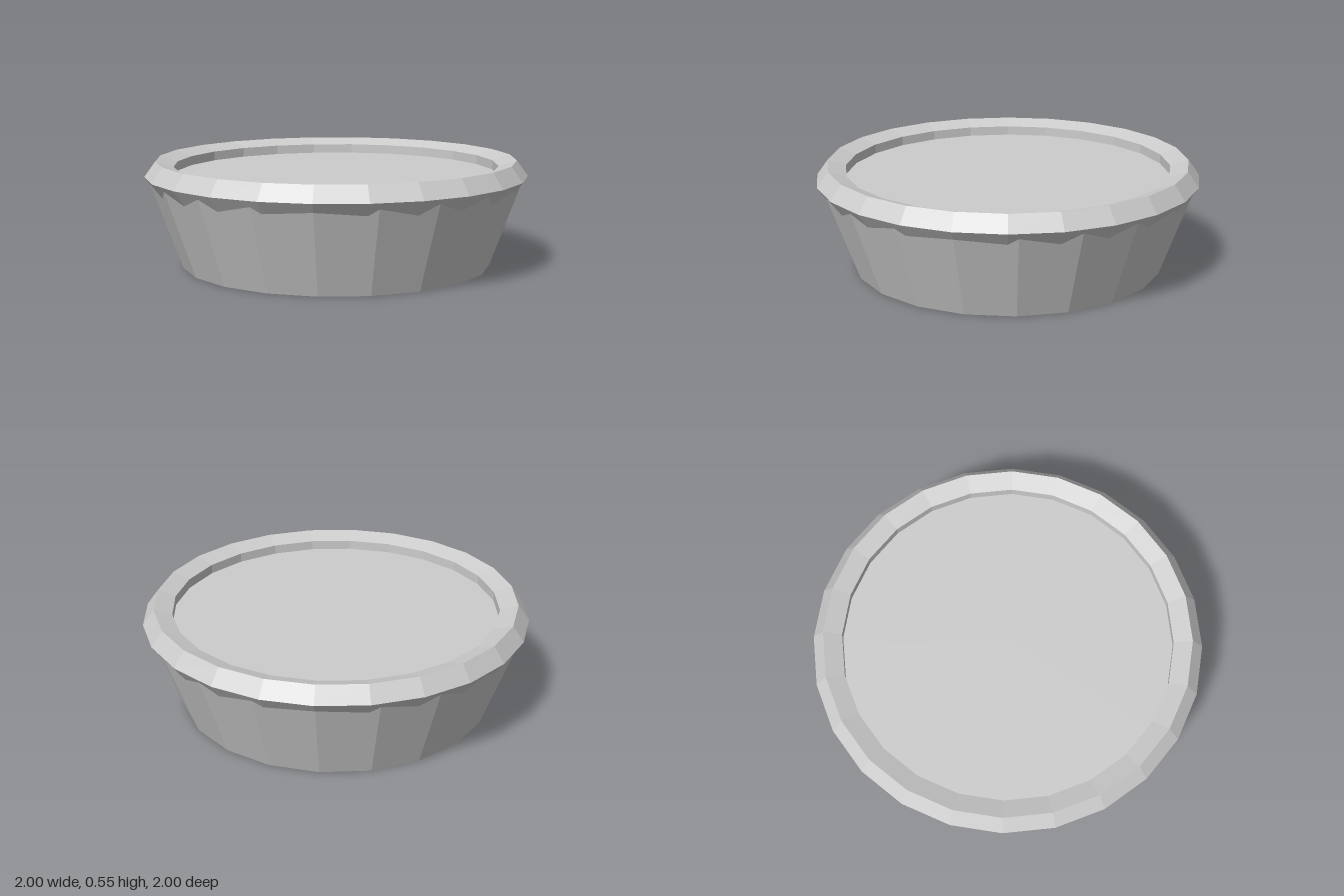
import * as THREE from 'three';

export function createModel() {
  const group = new THREE.Group();
  const grey = new THREE.MeshStandardMaterial({ color: 0xcccccc, flatShading: true });
  grey.name = 'light grey';

  const height = 0.475;

  // Tapered twenty-sided bowl; its top cap is the filled surface inside the rim
  const body = new THREE.Mesh(new THREE.CylinderGeometry(0.983, 0.81, height, 20), grey);
  body.name = 'body';
  body.position.y = height / 2;
  group.add(body);

  // Rim ring with a five-sided section, its point facing outward
  const rim = new THREE.Mesh(new THREE.TorusGeometry(0.916, 0.084, 5, 24), grey);
  rim.name = 'rim';
  rim.rotation.x = -Math.PI / 2;
  rim.position.y = height;
  group.add(rim);

  return group;
}
